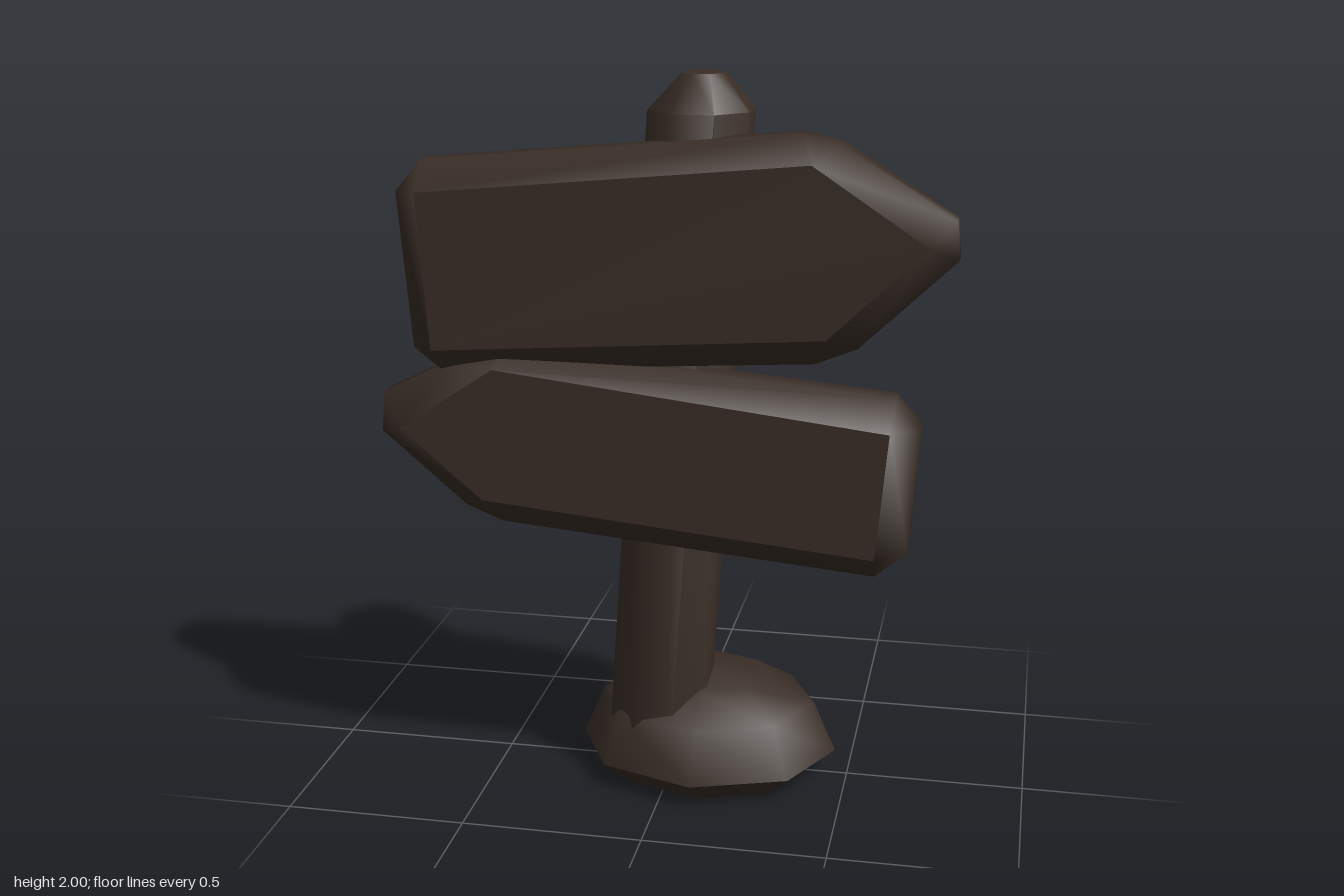
import * as THREE from 'three';
import { toCreasedNormals } from 'three/addons/utils/BufferGeometryUtils.js';

const wood = new THREE.MeshStandardMaterial({ color: 0x3a2e27 });

function mesh(name, geometry) {
  const m = new THREE.Mesh(geometry, wood);
  m.name = name;
  return m;
}

// Eight-sided turned form from [radius, height] pairs
function turned(profile) {
  return new THREE.LatheGeometry(profile.map(([r, y]) => new THREE.Vector2(r, y)), 8);
}

// Arrow board: five face corners, each spreading into two points of the outer rim (both clockwise from the front)
function board(name, face, rim) {
  const group = new THREE.Group();
  group.name = name;
  const zMid = 0.197, zFace = 0.11, zRim = 0.038;
  const pos = [];
  const addRing = (pts, z) => pts.forEach(([x, y]) => pos.push(x, y, z));
  addRing(face, zMid + zFace);
  addRing(rim, zMid + zRim);
  addRing(rim, zMid - zRim);
  addRing(face, zMid - zFace);

  // Rounded edge between the two faces
  const index = [];
  for (let i = 0; i < 10; i++) {
    const j = (i + 1) % 10;
    const f0 = i >> 1, f1 = j >> 1;
    const a0 = 5 + i, a1 = 5 + j, b0 = 15 + i, b1 = 15 + j;
    index.push(f0, a1, a0, a0, a1, b1, a0, b1, b0, b0, b1, 25 + f0);
    if (f0 !== f1) index.push(f0, f1, a1, b1, 25 + f1, 25 + f0);
  }
  const edge = new THREE.BufferGeometry();
  edge.setAttribute('position', new THREE.Float32BufferAttribute(pos, 3));
  edge.setIndex(index);
  edge.computeVertexNormals();
  group.add(mesh(name + 'Edge', edge));

  // Flat front and back
  const flat = (mirror) => new THREE.ShapeGeometry(
    new THREE.Shape(face.map(([x, y]) => new THREE.Vector2(mirror * x, y))));
  const front = mesh(name + 'Front', flat(1));
  front.position.z = zMid + zFace;
  const back = mesh(name + 'Back', flat(-1));
  back.rotation.y = Math.PI;
  back.position.z = zMid - zFace;
  group.add(front, back);
  return group;
}

export function createModel() {
  const model = new THREE.Group();
  model.name = 'signpost';

  // Oval mound at the foot
  const mound = turned([[0, 0], [0.77, 0], [1, 0.07], [0.83, 0.213], [0.47, 0.288], [0, 0.32]]);
  mound.scale(0.37, 1, 0.31);
  mound.translate(0.095, 0, 0);
  model.add(mesh('mound', toCreasedNormals(mound, 0.9)));

  // Leaning post with a bevelled top
  const post = turned([[0, 0.1], [0.146, 0.1], [0.146, 1.905], [0.06, 2], [0, 2]]);
  post.rotateY(Math.PI / 8);
  post.applyMatrix4(new THREE.Matrix4().makeShear(0, 0, 0.065, 0, 0, 0));
  post.translate(-0.043, 0, 0.07);
  model.add(mesh('post', toCreasedNormals(post, 0.82)));

  // Upper board points to the model's left
  model.add(board('upperBoard',
    [[-0.635, 1.70], [0.40, 1.80], [0.70, 1.60], [0.445, 1.355], [-0.605, 1.28]],
    [[-0.71, 1.69], [-0.64, 1.775], [0.365, 1.867], [0.465, 1.845], [0.762, 1.66],
      [0.77, 1.56], [0.52, 1.32], [0.41, 1.275], [-0.60, 1.21], [-0.675, 1.27]]));

  // Lower board points to the model's right
  model.add(board('lowerBoard',
    [[-0.70, 1.06], [-0.44, 1.235], [0.615, 1.115], [0.585, 0.77], [-0.475, 0.87]],
    [[-0.775, 1.03], [-0.765, 1.14], [-0.59, 1.225], [-0.42, 1.28], [0.62, 1.19],
      [0.69, 1.11], [0.665, 0.77], [0.58, 0.70], [-0.44, 0.79], [-0.54, 0.83]]));

  return model;
}
